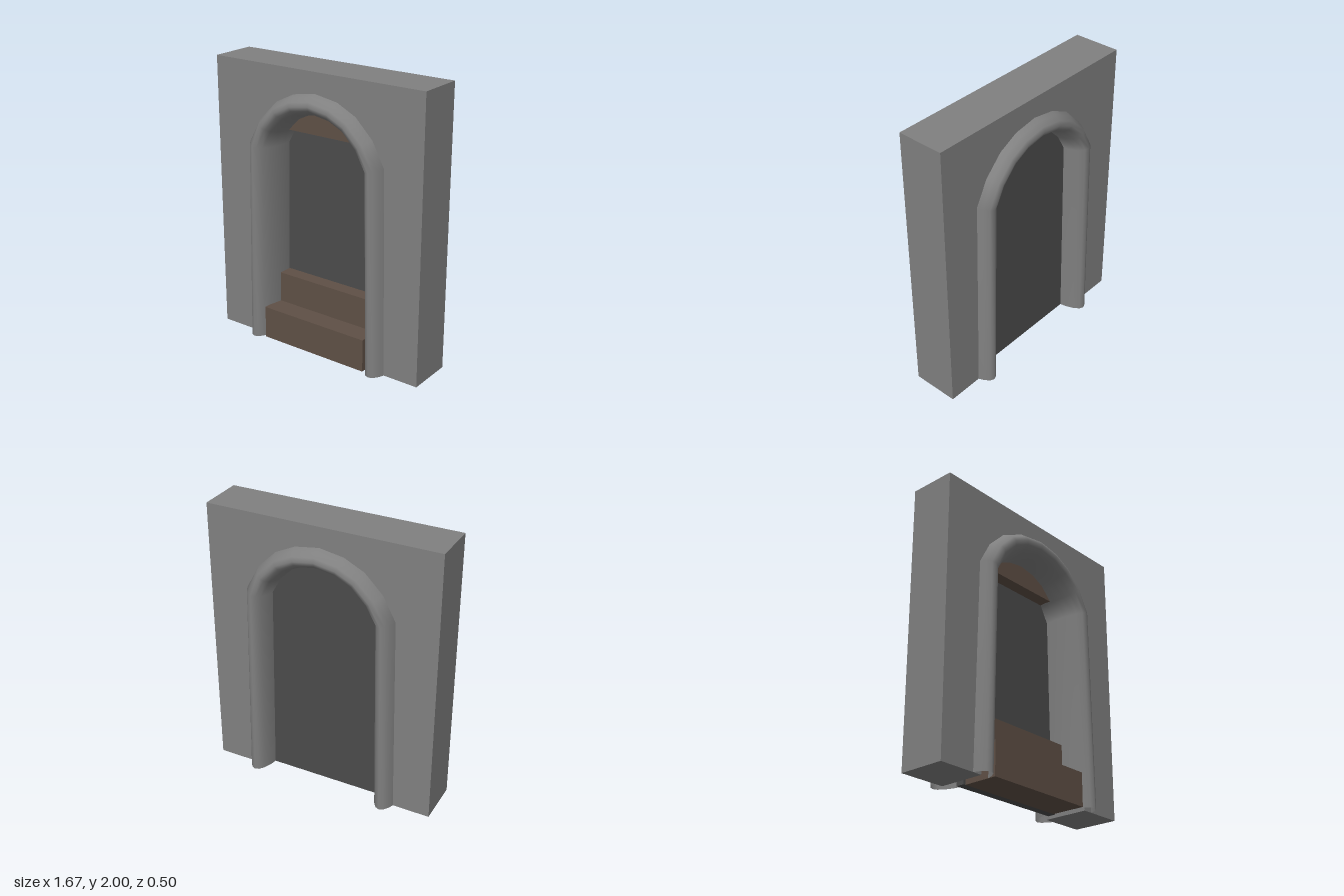
import * as THREE from 'three';

const WALL_DEPTH = 0.333;

// Centre line of the arch, from the foot at -x over the crown to the foot at +x
const CX = 0.005;
const halfArch = [[0.499, 0], [0.472, 1.44], [0.393, 1.585], [0.278, 1.7], [0.153, 1.761]];
const archPath = [
  ...halfArch.map(([x, y]) => new THREE.Vector2(CX - x, y)),
  new THREE.Vector2(CX, 1.786),
  ...halfArch.map(([x, y]) => new THREE.Vector2(CX + x, y)).reverse(),
];

function slab(points, zBack, depth) {
  const geometry = new THREE.ExtrudeGeometry(new THREE.Shape(points), { depth, bevelEnabled: false });
  return geometry.translate(0, 0, zBack);
}

// Sweep of an elliptical section, deeper than the wall, along the arch
function mouldingGeometry(radiusAcross, radiusDeep, sides) {
  const positions = [];
  const index = [];
  const last = archPath.length - 1;
  archPath.forEach((p, i) => {
    const before = p.clone().sub(archPath[Math.max(i - 1, 0)]).normalize();
    const after = archPath[Math.min(i + 1, last)].clone().sub(p).normalize();
    const t = before.add(after).normalize();
    // the feet are cut level with the ground
    const out = i === 0 ? new THREE.Vector2(-1, 0)
      : i === last ? new THREE.Vector2(1, 0) : new THREE.Vector2(-t.y, t.x);
    for (let j = 0; j < sides; j++) {
      const angle = (j / sides) * Math.PI * 2;
      const u = Math.cos(angle) * radiusAcross;
      positions.push(p.x + out.x * u, p.y + out.y * u, Math.sin(angle) * radiusDeep);
      if (i === last) continue;
      const a = i * sides + j;
      const b = i * sides + ((j + 1) % sides);
      index.push(a, b, a + sides, b, b + sides, a + sides);
    }
  });
  const geometry = new THREE.BufferGeometry();
  geometry.setAttribute('position', new THREE.Float32BufferAttribute(positions, 3));
  geometry.setIndex(index);
  geometry.computeVertexNormals();
  return geometry;
}

export function createModel() {
  const group = new THREE.Group();
  const stone = new THREE.MeshStandardMaterial({ color: 0x808080 });
  const stoneOpen = new THREE.MeshStandardMaterial({ color: 0x808080, side: THREE.DoubleSide });
  const dark = new THREE.MeshStandardMaterial({ color: 0x4b4b4b });
  const brown = new THREE.MeshStandardMaterial({ color: 0x5f5046 });

  const add = (name, geometry, material) => {
    const mesh = new THREE.Mesh(geometry, material);
    mesh.name = name;
    group.add(mesh);
  };
  // Box spanning the doorway between two heights and two depths
  const bar = (name, y0, y1, z0, z1) => {
    const geometry = new THREE.BoxGeometry(0.847, y1 - y0, z1 - z0);
    geometry.translate(CX, (y0 + y1) / 2, (z0 + z1) / 2);
    add(name, geometry, brown);
  };

  // Wall with an arched doorway open at the ground
  const corner = (x, y) => new THREE.Vector2(x, y);
  const outline = [corner(-0.833, 0), ...archPath, corner(0.833, 0), corner(0.833, 2), corner(-0.833, 2)];
  add('wall', slab(outline, -WALL_DEPTH / 2, WALL_DEPTH), stone);

  // Rounded surround lining the doorway and standing proud on both sides
  add('archMoulding', mouldingGeometry(0.095, 0.252, 20), stoneOpen);

  // Dark panel closing the doorway, its edge tucked into the moulding
  const panelOutline = archPath.map((p) => corner(CX + (p.x - CX) * 0.88, p.y * 0.97));
  add('doorPanel', slab(panelOutline, -0.1, 0.06), dark);

  // Two steps and the lintel in front of the panel
  bar('lowerStep', 0, 0.237, -0.04, 0.21);
  bar('upperStep', 0.237, 0.46, -0.04, 0.06);
  bar('lintel', 1.537, 1.76, -0.04, 0.05);

  return group;
}
